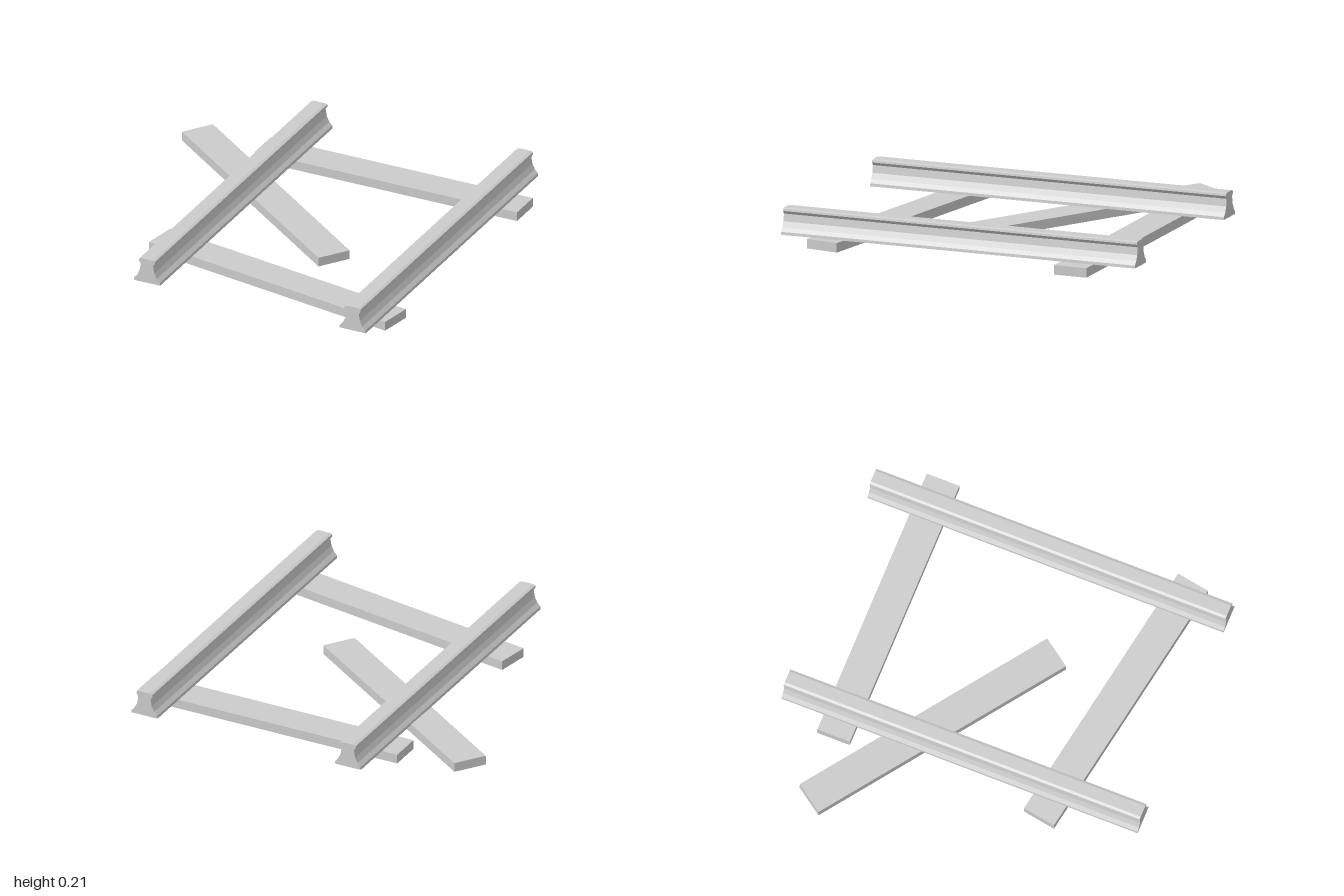
import * as THREE from 'three';

const material = new THREE.MeshStandardMaterial({ color: 0xcccccc, flatShading: true });

// Half of the rail section: [half width, height], from foot to head
const HALF_SECTION = [
  [0.077, 0.075], [0.075, 0.09], [0.057, 0.11], [0.043, 0.14], [0.036, 0.18],
  [0.048, 0.196], [0.046, 0.207], [0.032, 0.212],
];

function makeRail(name, x) {
  const left = HALF_SECTION.map(([w, y]) => [-w, y]).reverse();
  const outline = [...HALF_SECTION, ...left].map(([px, py]) => new THREE.Vector2(px, py));
  const geometry = new THREE.ExtrudeGeometry(new THREE.Shape(outline), { depth: 2, bevelEnabled: false });
  geometry.translate(0, 0, -1);
  const rail = new THREE.Mesh(geometry, material);
  rail.name = name;
  rail.position.x = x;
  return rail;
}

// Wooden plank, turned about y and tilted along its length
function makeSleeper(name, [x, y, z], turn = 0, tilt = 0) {
  const sleeper = new THREE.Mesh(new THREE.BoxGeometry(1.53, 0.051, 0.183), material);
  sleeper.name = name;
  sleeper.position.set(x, y, z);
  sleeper.rotation.set(0, turn, tilt);
  return sleeper;
}

export function createModel() {
  const track = new THREE.Group();
  track.name = 'brokenTrack';
  track.add(
    makeRail('rightRail', -0.389),
    makeRail('leftRail', 0.811),
    makeSleeper('backSleeper', [0.21, 0.049, -0.672]),
    makeSleeper('frontSleeper', [0.181, 0.049, 0.619], -0.17),
    makeSleeper('looseSleeper', [-0.307, 0.046, -0.214], -0.62, -0.026),
  );
  return track;
}
